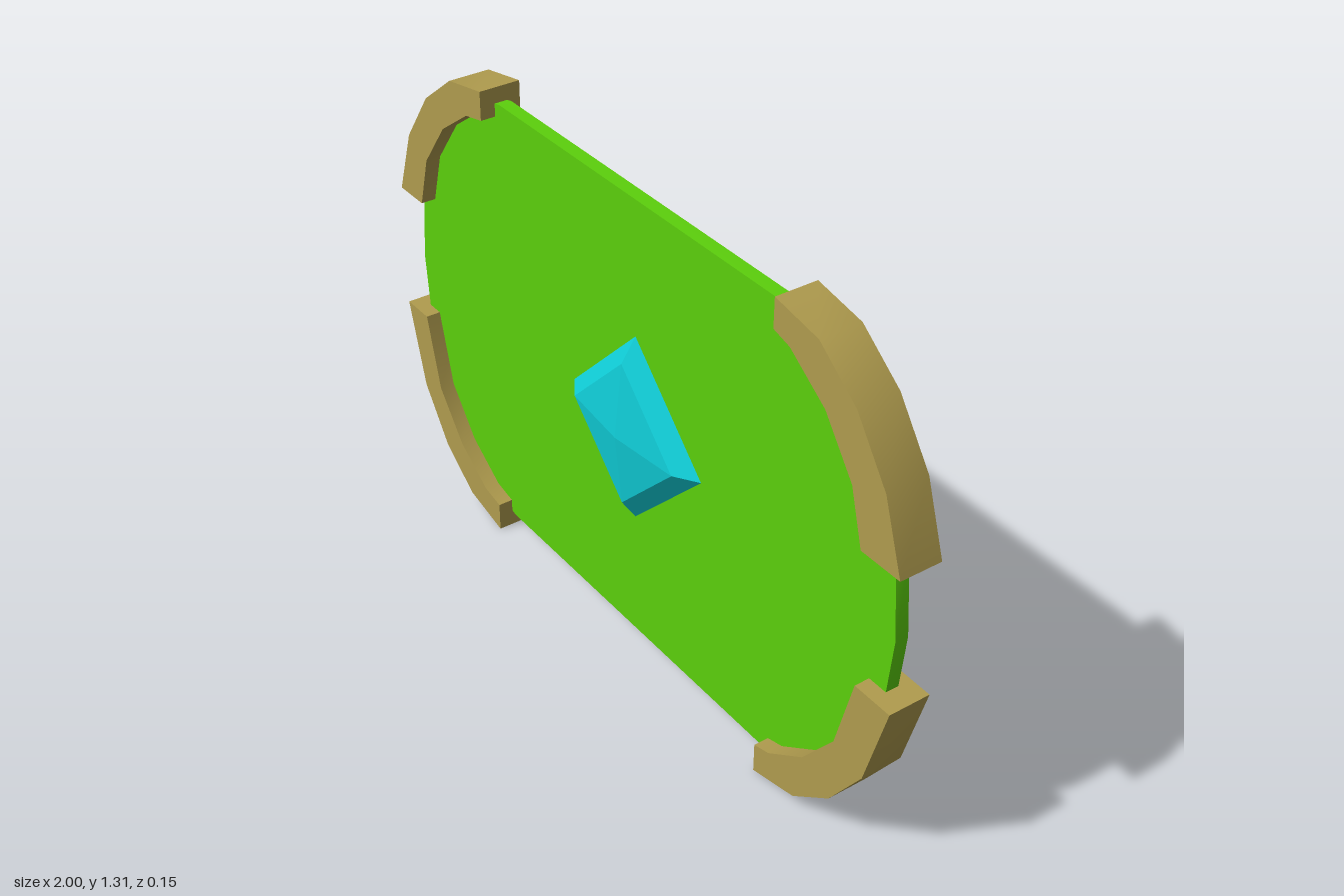
import * as THREE from 'three';
import { toCreasedNormals } from 'three/addons/utils/BufferGeometryUtils.js';

// Extrude an outline along z between two depths, smoothing only shallow bends
function slab(points, back, front) {
  const shape = new THREE.Shape(points.map(([x, y]) => new THREE.Vector2(x, y)));
  const geo = new THREE.ExtrudeGeometry(shape, { depth: front - back, bevelEnabled: false });
  geo.translate(0, 0, back);
  return toCreasedNormals(geo, 0.6);
}

export function createModel() {
  const model = new THREE.Group();
  const add = (name, geo, mat) => {
    const mesh = new THREE.Mesh(geo, mat);
    mesh.name = name;
    model.add(mesh);
    return mesh;
  };
  const green = new THREE.MeshStandardMaterial({ color: 0x5cd00c });
  const brass = new THREE.MeshStandardMaterial({ color: 0xb09c4e });
  const cyan = new THREE.MeshStandardMaterial({ color: 0x10ccd6, flatShading: true });

  // Plate: straight top and bottom edges with faceted rounded ends
  const midY = 0.657;
  const quarter = [[0.955, 0.21], [0.885, 0.37], [0.79, 0.5], [0.68, 0.585], [0.555, 0.616]];
  const upper = [[0.96, 0], ...quarter.map(([x, y]) => [x - 0.015, y])];
  const lower = quarter.map(([x, y]) => [x - 0.015, -y]).reverse();
  const rightEnd = [...lower, ...upper];
  const leftEnd = rightEnd.map(([x, y]) => [-x, -y]);
  add('plate', slab([...rightEnd, ...leftEnd].map(([x, y]) => [x - 0.005, y + midY]), -0.018, 0.017), green);

  // Corner brackets: curved bars, the lower pair reaching a little less far in height
  const brackets = {
    upper: {
      outer: [[0.564, 1.31], [0.706, 1.283], [0.83, 1.187], [0.932, 1.043], [0.993, 0.864]],
      inner: [[0.88, 0.864], [0.84, 1.005], [0.745, 1.134], [0.626, 1.219], [0.564, 1.234]],
    },
    lower: {
      outer: [[0.564, 0], [0.71, 0.035], [0.832, 0.128], [0.933, 0.273], [0.999, 0.509]],
      inner: [[0.895, 0.509], [0.842, 0.305], [0.742, 0.177], [0.624, 0.096], [0.564, 0.081]],
    },
  };
  for (const [level, { outer, inner }] of Object.entries(brackets)) {
    for (const side of [1, -1]) {
      const outline = [
        ...outer.map(([x, y]) => [side * x, y]),
        ...inner.map(([x, y], i) => [side * x - (i < 4 ? 0.008 : 0), y]),
      ];
      add(`${level}${side > 0 ? 'Left' : 'Right'}Bracket`, slab(outline, -0.054, 0.057), brass);
    }
  }

  // Four-sided gem passing through the plate: steep bevel, then a shallow pyramid
  const profile = [[0, -0.077], [0.2, -0.056], [0.262, -0.016], [0.262, 0.016], [0.2, 0.057], [0, 0.077]];
  const gem = add('gem', new THREE.LatheGeometry(profile.map(([r, h]) => new THREE.Vector2(r, h)), 4), cyan);
  gem.rotation.x = Math.PI / 2;
  gem.position.set(0.022, 0.656, 0);

  return model;
}
